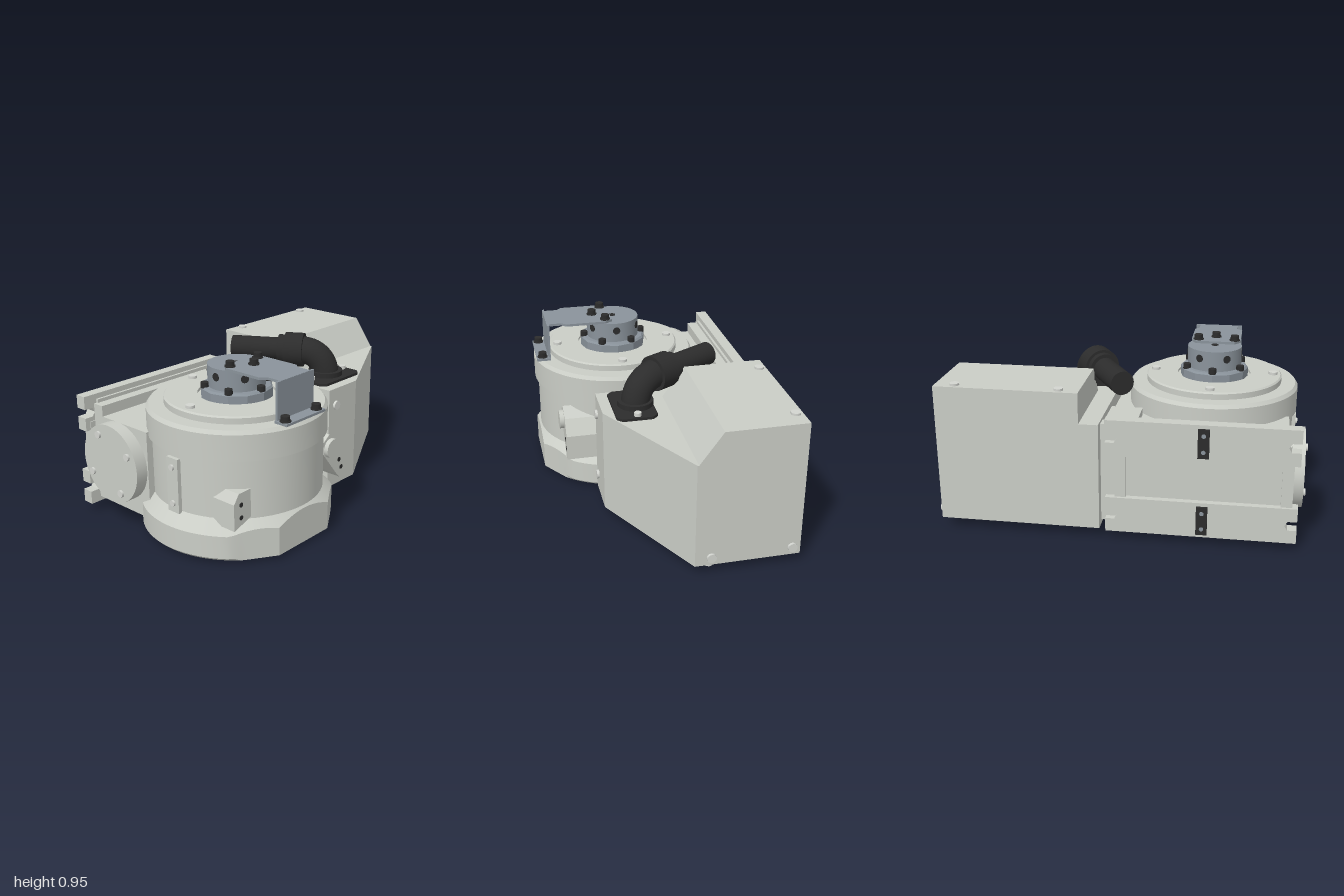
import * as THREE from 'three';
import { toCreasedNormals } from 'three/addons/utils/BufferGeometryUtils.js';

const paint = (name, color) => {
  const m = new THREE.MeshStandardMaterial({ color });
  m.name = name;
  return m;
};

export function createModel() {
  const model = new THREE.Group();
  const grey = paint('light grey paint', 0xcacdc6);
  const steel = paint('blue grey steel', 0x8a939b);
  const black = paint('black rubber', 0x2c2c2c);
  const bright = paint('bolt grey', 0xd3d5d0);
  const CX = -0.46, CZ = 0.135; // axis of the turntable

  const add = (name, geo, mat, x = 0, y = 0, z = 0) => {
    const m = new THREE.Mesh(geo, mat);
    m.name = name;
    m.position.set(x, y, z);
    model.add(m);
    return m;
  };
  // Box given by its lower and upper limits
  const box = (name, mat, x0, x1, y0, y1, z0, z1) =>
    add(name, new THREE.BoxGeometry(x1 - x0, y1 - y0, z1 - z0), mat, (x0 + x1) / 2, (y0 + y1) / 2, (z0 + z1) / 2);
  // Cylinder centred on a point along a direction
  const rod = (name, mat, r, len, pos, dir = [0, 1, 0], sides = 32) => {
    const m = add(name, new THREE.CylinderGeometry(r, r, len, sides), mat, ...pos);
    m.quaternion.setFromUnitVectors(new THREE.Vector3(0, 1, 0), new THREE.Vector3(...dir).normalize());
    return m;
  };
  const bolt = (name, mat, r, len, pos, dir) => rod(name, mat, r, len, pos, dir, 12);
  const shapeOf = (pts) => new THREE.Shape(pts.map(([a, b]) => new THREE.Vector2(a, b)));
  const extrude = (shape, depth) => new THREE.ExtrudeGeometry(shape, { depth, bevelEnabled: false, curveSegments: 20 });
  // Plan outline (x, z) raised from y0 to y1
  const plan = (name, mat, pts, y0, y1) =>
    add(name, extrude(shapeOf(pts.map(([x, z]) => [x, -z])), y1 - y0).rotateX(-Math.PI / 2), mat, 0, y0, 0);
  const lathe = (name, mat, pts, seg = 72) =>
    add(name, toCreasedNormals(new THREE.LatheGeometry(pts.map(([r, y]) => new THREE.Vector2(r, y)), seg), 0.45), mat, CX, 0, CZ);

  // Turntable base: round skirt with flats cut on the front, shoulder rising at each flat
  const base = new THREE.LatheGeometry(
    [[0, 0.02], [0.515, 0.02], [0.53, 0.035], [0.53, 0.16], [0.46, 0.235]].map(([r, y]) => new THREE.Vector2(r, y)), 96);
  const bp = base.attributes.position;
  const flats = [[0, 0.475], [0.58, 0.505], [-0.58, 0.505]];
  for (let i = 0; i < bp.count; i++) {
    const x = bp.getX(i), y = bp.getY(i), z = bp.getZ(i), r = Math.hypot(x, z);
    if (r < 0.47) continue;
    const a = Math.atan2(x, z);
    let lim = r;
    for (const [fa, d] of flats) if (Math.cos(a - fa) > 0.5) lim = Math.min(lim, d / Math.cos(a - fa));
    bp.setXYZ(i, x * lim / r, y > 0.1 ? y + (r - lim) * 1.07 : y, z * lim / r);
  }
  add('turntableBase', toCreasedNormals(base, 0.4), grey, CX, 0, CZ);

  // Drum, upper ring and lid
  lathe('drum', grey, [[0.465, 0.15], [0.465, 0.56]]);
  lathe('upperRing', grey, [[0.46, 0.55], [0.485, 0.55], [0.485, 0.69], [0.47, 0.71], [0.38, 0.71]]);
  lathe('lid', grey, [[0.39, 0.70], [0.39, 0.742], [0.382, 0.75], [0.21, 0.75], [0.21, 0.735], [0, 0.735]]);
  for (let i = 0; i < 4; i++) {
    const a = i * Math.PI / 2;
    bolt('lidBolt', bright, 0.025, 0.02, [CX + 0.34 * Math.sin(a), 0.755, CZ + 0.34 * Math.cos(a)]);
  }

  // Output face underneath
  lathe('outputFlange', grey, [[0, 0.008], [0.1, 0.008], [0.1, 0], [0.195, 0], [0.215, 0.022]], 48);
  for (let i = 0; i < 12; i++) {
    const a = i * Math.PI / 6;
    bolt('outputHole', steel, i % 2 ? 0.012 : 0.016, 0.006, [CX + 0.15 * Math.sin(a), 0, CZ + 0.15 * Math.cos(a)].map((v, k) => k === 1 ? 0.003 : v));
    if (i % 2) bolt('innerBolt', black, 0.014, 0.006, [CX + 0.07 * Math.sin(a), 0.006, CZ + 0.07 * Math.cos(a)]);
  }

  // Steel hub on the lid
  lathe('hubFlange', steel, [[0.195, 0.735], [0.195, 0.785], [0.185, 0.795], [0, 0.795]], 12);
  lathe('hub', steel, [[0.155, 0.79], [0.155, 0.91], [0, 0.91]], 48);
  rod('hubCentreHole', black, 0.02, 0.004, [CX, 0.911, CZ]);
  for (let i = 0; i < 6; i++) {
    const a = i * Math.PI / 3 + Math.PI, s = Math.sin(a), c = Math.cos(a);
    bolt('flangeBolt', black, 0.022, 0.03, [CX + 0.175 * s, 0.805, CZ + 0.175 * c]);
    const b = a + Math.PI / 6;
    rod('hubSideHole', black, 0.022, 0.004, [CX + 0.155 * Math.sin(b), 0.865, CZ + 0.155 * Math.cos(b)], [Math.sin(b), 0, Math.cos(b)], 16);
  }

  // Bent bracket from the hub down to the ring
  plan('bracketTop', steel, [[-0.57, 0.155], [-0.35, 0.155], [-0.32, 0.2], [-0.32, 0.43], [-0.345, 0.46], [-0.345, 0.545],
    [-0.575, 0.545], [-0.575, 0.46], [-0.605, 0.43], [-0.605, 0.2]], 0.911, 0.925);
  box('bracketUpright', steel, -0.6, -0.32, 0.712, 0.924, 0.533, 0.546);
  box('bracketFoot', steel, -0.61, -0.305, 0.711, 0.724, 0.535, 0.615);
  for (const [x, y, z] of [[-0.57, 0.925, 0.195], [-0.36, 0.925, 0.195], [-0.46, 0.925, 0.26], [-0.58, 0.724, 0.58], [-0.34, 0.724, 0.58]]) {
    bolt('bracketBolt', black, 0.024, 0.03, [x, y + 0.015, z]);
    bolt('bracketWasher', black, 0.03, 0.006, [x, y + 0.003, z]);
  }

  // Gear housing behind the drum with its round end cover
  box('gearHousing', grey, -0.9, 0.11, 0.08, 0.58, -0.53, -0.1);
  box('housingLink', grey, -0.1, 0.11, 0.08, 0.58, -0.12, 0.25);
  box('housingTopStep', grey, -0.9, 0.1, 0.57, 0.64, -0.53, -0.46);
  box('housingPad', grey, -0.085, 0.105, 0.57, 0.62, -0.41, -0.19);
  rod('wormBarrel', grey, 0.2, 0.3, [-0.81, 0.37, -0.31], [1, 0, 0], 48);
  rod('endCover', grey, 0.22, 0.07, [-0.95, 0.37, -0.31], [1, 0, 0], 48);
  for (const a of [0.5, 2.07, 3.64, 5.21])
    bolt('coverBolt', bright, 0.02, 0.02, [-0.988, 0.37 + 0.17 * Math.sin(a), -0.31 + 0.17 * Math.cos(a)], [1, 0, 0]);

  // Back mounting plate: recessed web, two rails slotted at both ends, black keys
  box('mountingWeb', grey, -0.88, 0.06, 0.08, 0.66, -0.565, -0.52);
  for (const yc of [0.15, 0.59]) {
    const half = [[-0.51, -0.1], [0.51, -0.1], [0.51, -0.025], [0.46, -0.025], [0.445, 0], [0.46, 0.025], [0.51, 0.025], [0.51, 0.1],
      [-0.51, 0.1], [-0.51, 0.025], [-0.46, 0.025], [-0.445, 0], [-0.46, -0.025], [-0.51, -0.025]];
    add('mountingRail', extrude(shapeOf(half), 0.065), grey, -0.45, yc, -0.6);
    box('railKey', black, -0.49, -0.43, yc - 0.08, yc + 0.08, -0.615, -0.59);
    for (const dy of [-0.045, 0.045]) bolt('keyScrew', steel, 0.012, 0.004, [CX, yc + dy, -0.615], [0, 0, 1]);
  }
  for (const x of [-0.9, -0.02]) box('plateRib', grey, x - 0.03, x + 0.03, 0.2, 0.54, -0.585, -0.53);

  // Lugs on the drum front
  const lug = (name, pts, z0, z1) => add(name, extrude(shapeOf(pts), z1 - z0), grey, 0, 0, z0);
  lug('rightLug', [[-0.87, 0.2], [-0.75, 0.24], [-0.75, 0.395], [-0.835, 0.395], [-0.87, 0.345]], 0.25, 0.5);
  lug('leftLug', [[-0.17, 0.39], [-0.05, 0.24], [-0.02, 0.21], [0.02, 0.21], [0.02, 0.36], [-0.035, 0.45], [-0.12, 0.495], [-0.17, 0.46]], 0.22, 0.5);
  rod('lugBoss', grey, 0.055, 0.04, [-0.11, 0.415, 0.505], [0, 0, 1]);
  for (const [x, y] of [[-0.03, 0.32], [-0.01, 0.27], [-0.82, 0.33], [-0.82, 0.26]])
    rod('lugHole', black, 0.013, 0.004, [x, y, 0.5], [0, 0, 1], 12);

  // Side strap on the drum
  box('sideStrap', grey, -0.945, -0.9, 0.22, 0.52, 0.1, 0.18);
  for (const y of [0.27, 0.47]) bolt('strapBolt', bright, 0.016, 0.016, [-0.948, y, 0.14], [1, 0, 0]);

  // Junction box: low body and raised rear part with a sloping front
  plan('junctionBox', grey, [[0.095, -0.59], [0.985, -0.59], [0.985, -0.02], [0.335, 0.335], [0.085, 0.335]], 0.055, 0.655);
  const raised = extrude(shapeOf([[0.025, 0.65], [0.59, 0.65], [0.59, 0.825], [0.152, 0.825], [0.028, 0.655]]), 0.785);
  add('raisedCover', raised.rotateY(Math.PI / 2), grey, 0.2, 0, 0);
  const boxBolts = [
    [[0.145, 0.555, 0.34], [0, 0, 1]], [[0.145, 0.165, 0.34], [0, 0, 1]],
    [[0.99, 0.1, -0.107], [1, 0, 0]], [[0.99, 0.1, -0.545], [1, 0, 0]],
    [[0.31, 0.828, -0.55], [0, 1, 0]], [[0.875, 0.828, -0.55], [0, 1, 0]],
    [[0.14, 0.048, 0.19], [0, 1, 0]], [[0.14, 0.048, -0.46], [0, 1, 0]], [[0.95, 0.048, -0.1], [0, 1, 0]],
  ];
  for (const [pos, dir] of boxBolts) bolt('boxBolt', bright, 0.026, 0.018, pos, dir);

  // Cable gland: flange, elbow, sleeve and conduit
  plan('glandFlange', black, [[0.11, 0.08], [0.14, 0.05], [0.43, 0.05], [0.46, 0.08], [0.46, 0.245], [0.43, 0.275], [0.14, 0.275], [0.11, 0.245]], 0.654, 0.67);
  for (const x of [0.14, 0.43]) bolt('glandBolt', bright, 0.02, 0.03, [x, 0.675, 0.16]);
  rod('glandCollar', black, 0.1, 0.03, [0.285, 0.683, 0.145]);
  const along = (s, y = 0.808) => new THREE.Vector3(0.285 - 0.5 * s, y, 0.145 - 0.866 * s);
  const elbow = new THREE.CatmullRomCurve3([along(0, 0.66), along(0.005, 0.7), along(0.03, 0.755), along(0.08, 0.795), along(0.14), along(0.2)]);
  add('elbow', new THREE.TubeGeometry(elbow, 24, 0.08, 24), black);
  const dir = [-0.5, 0, -0.866];
  rod('sleeve', black, 0.1, 0.11, along(0.185).toArray(), dir);
  rod('sleeveNeck', black, 0.085, 0.05, along(0.255).toArray(), dir);
  rod('conduit', black, 0.066, 0.36, along(0.38).toArray(), dir);
  return model;
}
